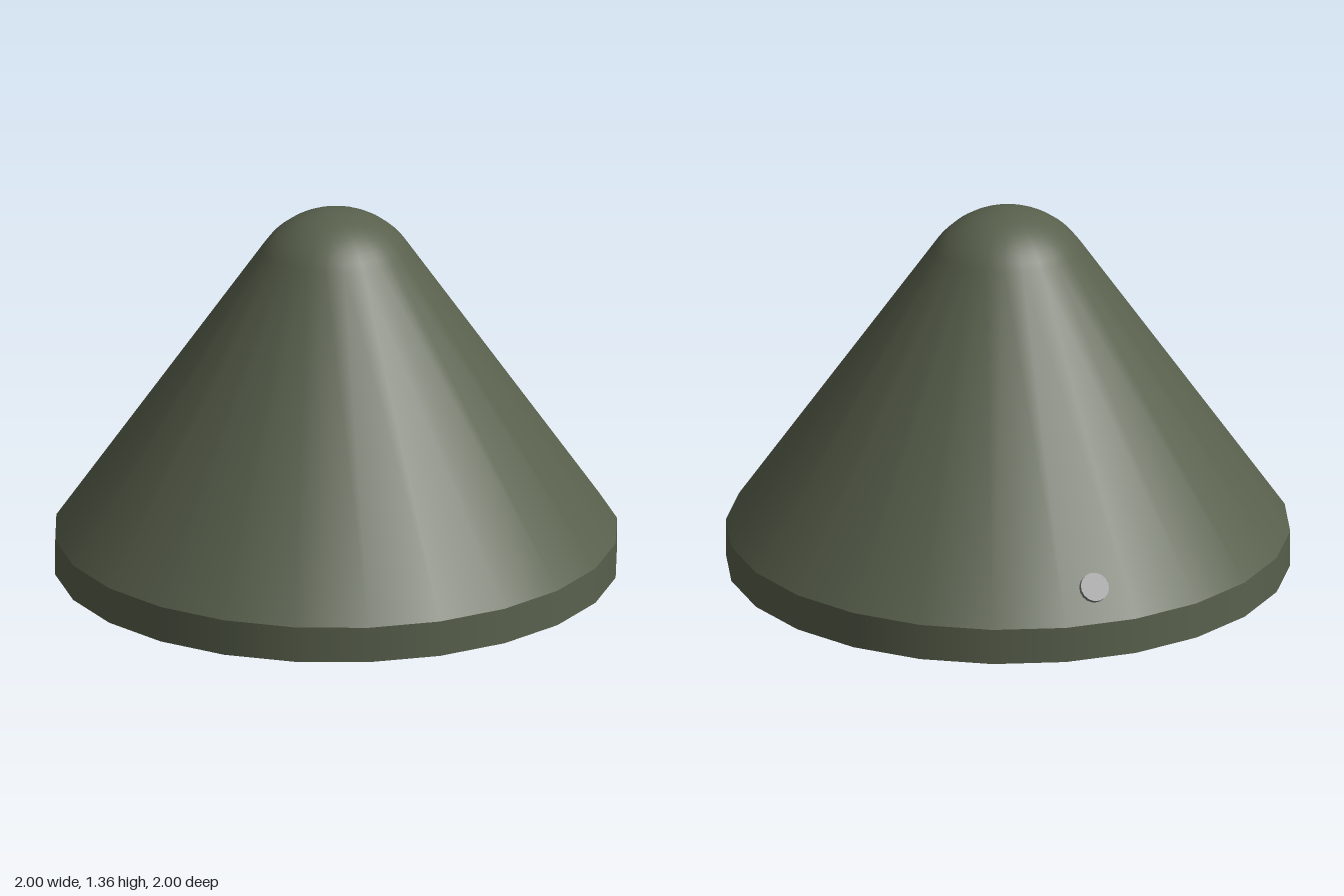
import * as THREE from 'three';

const SIDES = 24;

export function createModel() {
  const model = new THREE.Group();
  const green = new THREE.MeshStandardMaterial({ name: 'olive green', color: 0x59614d });
  const grey = new THREE.MeshStandardMaterial({ name: 'metal grey', color: 0x808080 });

  const add = (name, geometry, material) => {
    const mesh = new THREE.Mesh(geometry, material);
    mesh.name = name;
    model.add(mesh);
    return mesh;
  };
  // Each surface of revolution is its own lathe, so edges between them stay sharp.
  const turn = (name, profile, material) =>
    add(name, new THREE.LatheGeometry(profile.map(([r, y]) => new THREE.Vector2(r, y)), SIDES), material);

  // Cone flank running tangentially into a rounded nose
  const noseRadius = 0.317, noseY = 1.043, steps = 10;
  const slope = Math.atan2(0.74, 1.06);
  const shell = [[1, 0.16]];
  for (let i = 0; i <= steps; i++) {
    const a = slope + (Math.PI / 2 - slope) * i / steps;
    shell.push([i === steps ? 0 : noseRadius * Math.cos(a), noseY + noseRadius * Math.sin(a)]);
  }
  turn('coneShell', shell, green);

  // Vertical band, bottom rim and wall of the base recess
  turn('baseBand', [[1, 0.03], [1, 0.16]], green);
  turn('bottomRim', [[0.87, 0.03], [1, 0.03]], green);
  turn('recessWall', [[0.87, 0.07], [0.87, 0.03]], green);

  // Recessed base plate with a slightly domed boss
  turn('basePlate', [[0, 0.07], [0.87, 0.07]], grey);
  turn('bossWall', [[0.5, 0.03], [0.5, 0.07]], grey);
  const dome = [];
  for (let i = 0; i <= 6; i++) dome.push([0.5 * i / 6, 0.03 * (i / 6) ** 2]);
  turn('bossDome', dome, grey);

  // Small plug set square to the flank near the back edge
  const heading = Math.atan2(-0.567, -0.743);
  const outward = (r, y) => new THREE.Vector3(r * Math.sin(heading), y, r * Math.cos(heading));
  const axis = outward(Math.cos(slope), Math.sin(slope));
  const plug = add('plug', new THREE.CylinderGeometry(0.052, 0.052, 0.06, 16), grey);
  plug.quaternion.setFromUnitVectors(new THREE.Vector3(0, 1, 0), axis);
  plug.position.copy(outward(0.935, 0.278)).addScaledVector(axis, -0.03);

  return model;
}
